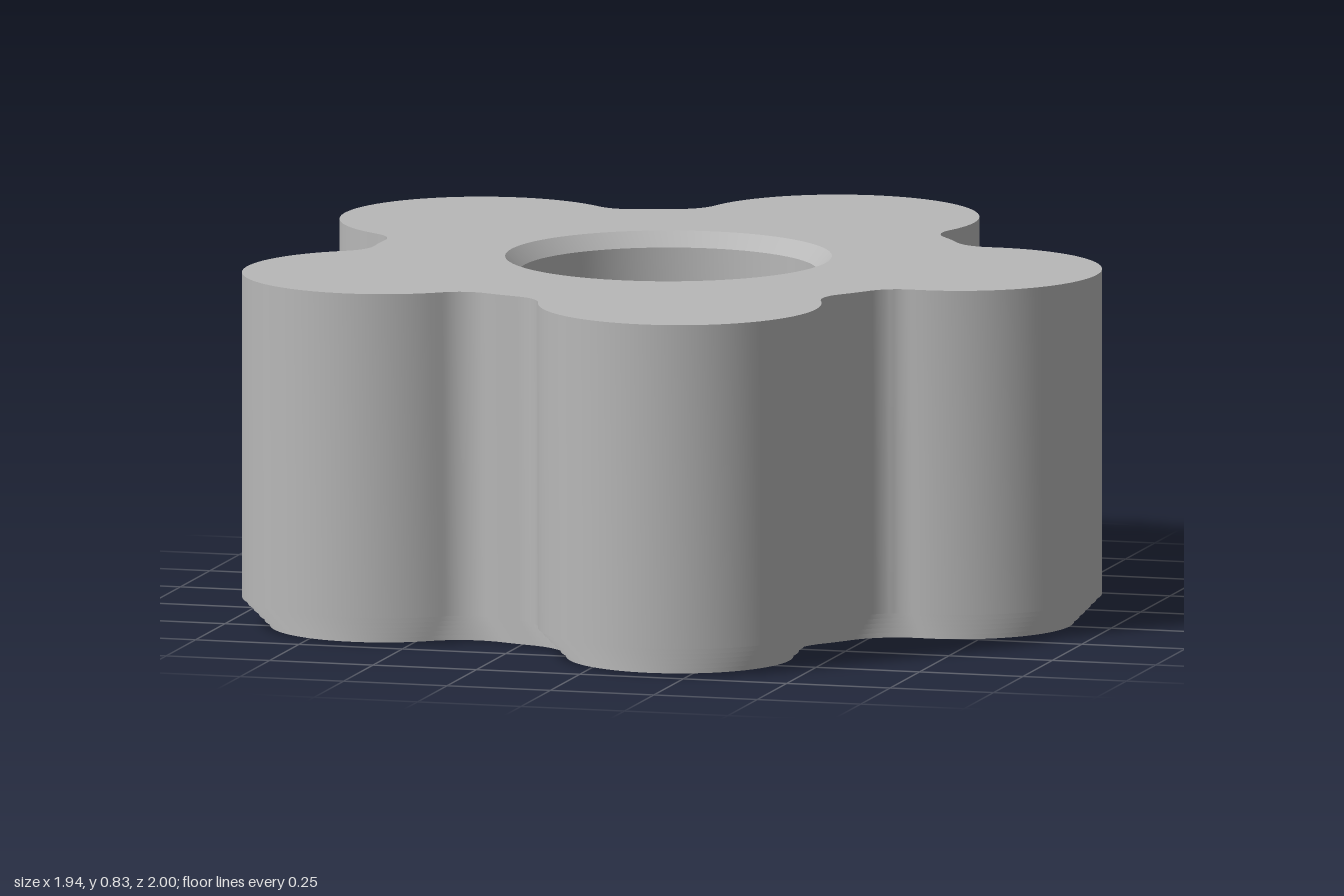
import * as THREE from 'three';
import { toCreasedNormals } from 'three/addons/utils/BufferGeometryUtils.js';

const LOBES = 5, STEP = (Math.PI * 2) / LOBES;
const CORE = 0.7, LOBE = 0.33, REACH = 0.705, FILLET = 0.1;
const HEIGHT = 0.83, CHAMFER = 0.067, FLOOR = 0.605;

// Angles at which the concave fillets touch the core and the lobes
const D = CORE + FILLET, E = LOBE + FILLET;
const ALPHA = Math.acos((D * D + REACH * REACH - E * E) / (2 * D * REACH));
const BETA = Math.atan2(D * Math.sin(ALPHA), D * Math.cos(ALPHA) - REACH);

// Five-lobed outline, shrunk evenly by inset
function outline(inset) {
  const pts = [];
  const arc = (dist, dir, r, from, to, n) => {
    for (let i = 0; i < n; i++) {
      const t = from + ((to - from) * i) / n;
      pts.push(new THREE.Vector2(
        dist * Math.cos(dir) + r * Math.cos(t),
        dist * Math.sin(dir) + r * Math.sin(t)));
    }
  };
  for (let k = 0; k < LOBES; k++) {
    const a = k * STEP, b = a + STEP;
    arc(REACH, a, LOBE - inset, a - BETA, a + BETA, 40);
    arc(D, a + ALPHA, FILLET + inset, a + BETA + Math.PI, a + ALPHA + Math.PI, 10);
    arc(0, 0, CORE - inset, a + ALPHA, b - ALPHA, 4);
    arc(D, b - ALPHA, FILLET + inset, b - ALPHA + Math.PI, b - BETA + Math.PI, 10);
  }
  return new THREE.Shape(pts);
}

// Upright prism between two heights
function prism(shape, y0, y1) {
  const g = new THREE.ExtrudeGeometry(shape, { depth: y1 - y0, bevelEnabled: false, curveSegments: 48 });
  g.rotateX(-Math.PI / 2).translate(0, y0, 0);
  return toCreasedNormals(g, 0.5);
}

export function createModel() {
  const grey = new THREE.MeshStandardMaterial({ color: 0xb8b8b8 });
  grey.name = 'grey plastic';
  const model = new THREE.Group();
  model.name = 'lobedKnob';
  const add = (name, geometry) => {
    const mesh = new THREE.Mesh(geometry, grey);
    mesh.name = name;
    mesh.position.x = -0.07;
    model.add(mesh);
  };

  // Main body, open in the middle for the pocket
  const body = outline(0);
  body.holes.push(new THREE.Path().absarc(0, 0, 0.38, 0, Math.PI * 2, true));
  add('body', prism(body, CHAMFER, HEIGHT));

  // Stepped chamfer around the underside
  const n = 5, h = CHAMFER / n;
  for (let i = 1; i <= n; i++) {
    add('chamferStep' + i, prism(outline(0.013 * i), CHAMFER - h * i, CHAMFER - h * (i - 1)));
  }

  // Round pocket with a bevelled rim
  const profile = [[0.38, HEIGHT], [0.347, HEIGHT - 0.035], [0.347, FLOOR], [0, FLOOR]]
    .map(([x, y]) => new THREE.Vector2(x, y));
  add('pocket', toCreasedNormals(new THREE.LatheGeometry(profile, 96), 0.5));

  // Raised cross on the pocket floor
  const L = 0.157, W = 0.032;
  const cross = new THREE.Shape([
    [L, -W], [L, W], [W, W], [W, L], [-W, L], [-W, W],
    [-L, W], [-L, -W], [-W, -W], [-W, -L], [W, -L], [W, -W],
  ].map(([x, y]) => new THREE.Vector2(x, y)));
  add('cross', prism(cross, FLOOR, FLOOR + 0.062));

  return model;
}
